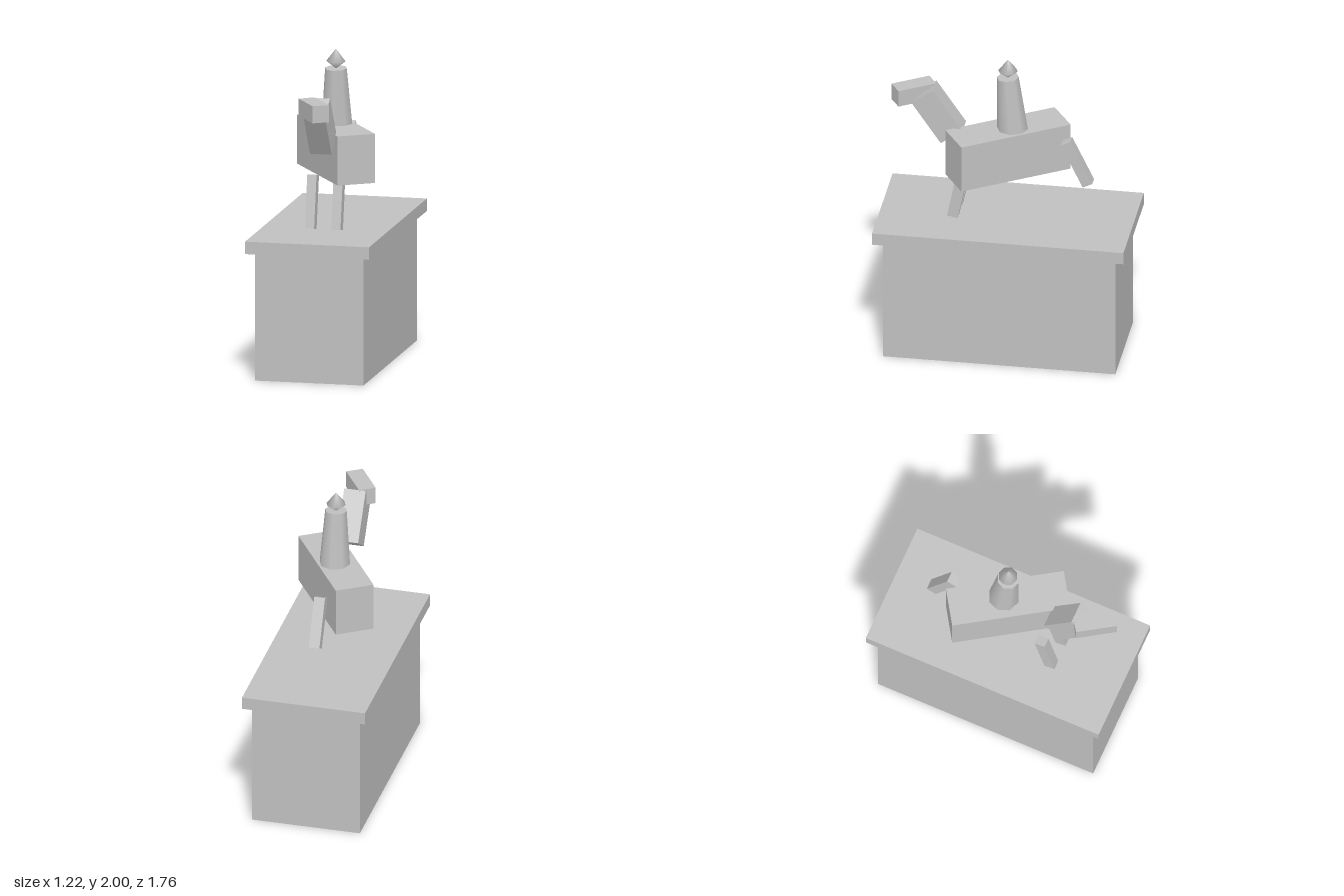
import * as THREE from 'three';

const TURN = 0.288;

export function createModel() {
  const model = new THREE.Group();
  model.name = 'mountedStatue';
  const stone = new THREE.MeshStandardMaterial({ color: 0xc0c0c0 });
  stone.name = 'grey stone';
  // second copy of the same colour for the open, thin-walled plinth
  const stoneShell = new THREE.MeshStandardMaterial({ color: 0xc0c0c0, side: THREE.DoubleSide });
  stoneShell.name = 'grey stone shell';

  // Most parts share one turn; the body and head are turned the other way
  const turned = new THREE.Group();
  turned.name = 'plinthAndLimbs';
  turned.rotation.y = -TURN;
  model.add(turned);

  const add = (parent, name, geometry, [x, y, z], tilt = 0, material = stone) => {
    const mesh = new THREE.Mesh(geometry, material);
    mesh.name = name;
    mesh.position.set(x, y, z);
    mesh.rotation.x = tilt;
    parent.add(mesh);
    return mesh;
  };
  const box = (w, h, d) => new THREE.BoxGeometry(w, h, d);

  // Plinth: four walls without floor or ceiling, closed by the slab
  const walls = box(0.70, 0.82, 1.48);
  const sideIndices = Array.from(walls.index.array);
  walls.setIndex([...sideIndices.slice(0, 12), ...sideIndices.slice(24)]);
  walls.clearGroups();
  add(turned, 'plinthWalls', walls, [0, 0.41, 0], 0, stoneShell);
  add(turned, 'plinthSlab', box(0.8, 0.08, 1.6), [0, 0.86, 0]);

  // Horse
  add(model, 'horseBody', box(0.25, 0.315, 0.75), [0, 1.3575, 0]).rotation.y = TURN;
  add(model, 'horseHead', box(0.11, 0.11, 0.26), [-0.174, 1.72, 0.574]).rotation.y = TURN;
  add(turned, 'horseNeck', box(0.14, 0.333, 0.168), [0, 1.588, 0.442], 0.6);
  for (const side of [-1, 1]) {
    add(turned, side < 0 ? 'rightFrontLeg' : 'leftFrontLeg',
      box(0.06, 0.34, 0.07), [side * 0.085, 1.073, 0.302], -0.2);
  }
  add(turned, 'tail', box(0.07, 0.32, 0.068), [0, 1.304, -0.442], 0.45);

  // Rider
  add(turned, 'riderBody', new THREE.CylinderGeometry(0.07, 0.1, 0.38, 8), [0, 1.686, -0.014], 0.08);
  const headProfile = [[0, 1.872], [0.062, 1.92], [0, 2]].map(([r, y]) => new THREE.Vector2(r, y));
  add(turned, 'riderHead', new THREE.LatheGeometry(headProfile, 8), [0, 0, 0]);

  return model;
}
